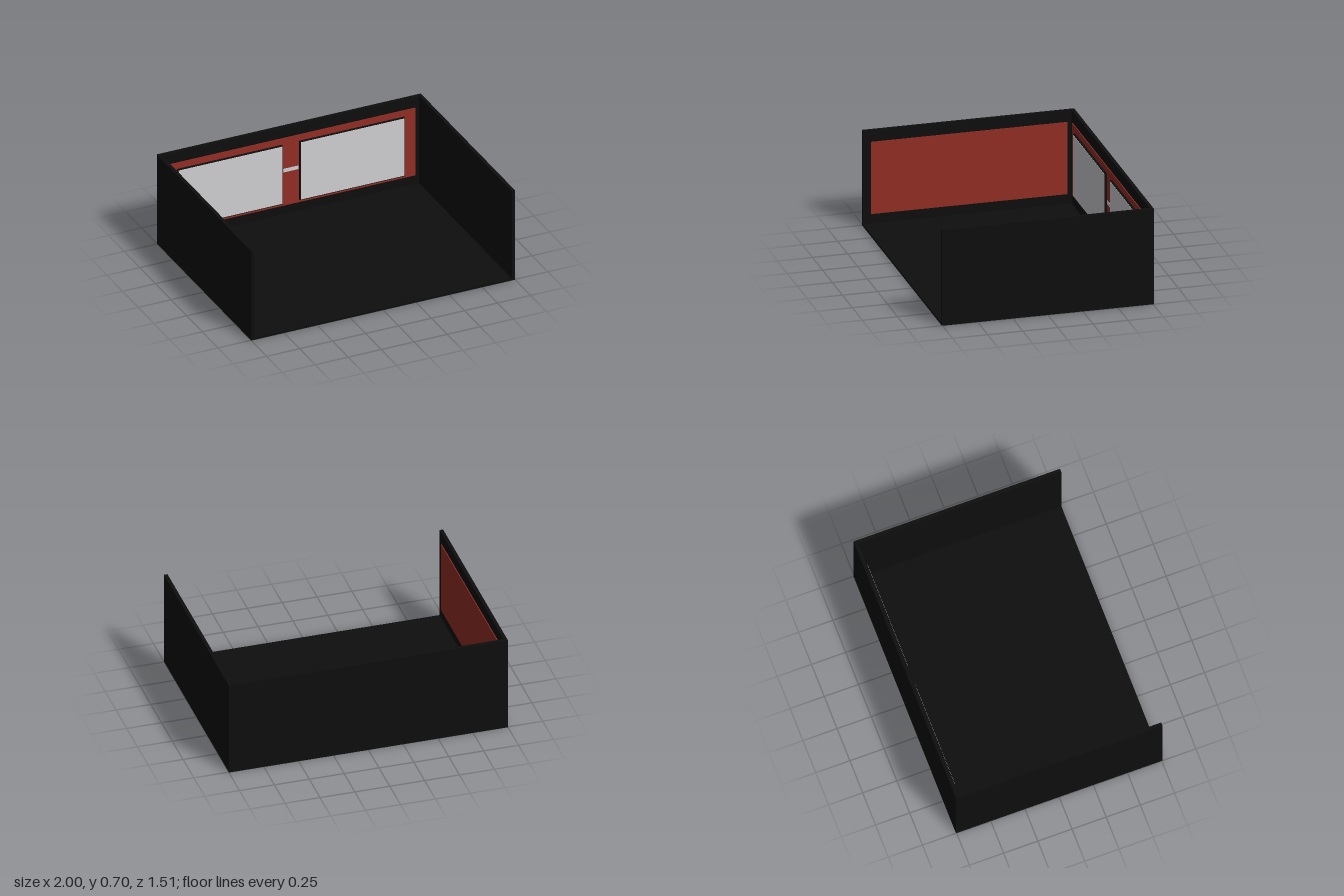
import * as THREE from 'three';

const flat = (name, color) => {
  const m = new THREE.MeshStandardMaterial({ color });
  m.name = name;
  return m;
};

export function createModel() {
  const black = flat('black', 0x0e0e0e);
  const red = flat('red', 0x932e25);
  const grey = flat('light grey', 0xd0d0d4);

  const model = new THREE.Group();
  model.name = 'exhibitionBooth';

  // Box given by its minimum and maximum corners
  const block = (name, material, min, max, parent = model) => {
    const size = max.map((v, i) => v - min[i]);
    const mesh = new THREE.Mesh(new THREE.BoxGeometry(...size), material);
    mesh.position.set(...max.map((v, i) => (v + min[i]) / 2));
    mesh.name = name;
    parent.add(mesh);
    return mesh;
  };

  const H = 0.7, D = 0.755, T = 0.025, F = 0.015;

  // Shell: floor, back wall and two side walls, open at the front and top
  block('floor', black, [-1 + T, 0, -D + T], [1 - T, F, D]);
  block('backWall', black, [-1, 0, -D], [1, H, -D + T]);
  block('rightWall', black, [-1, 0, -D + T], [-1 + T, H, D]);
  block('leftWall', black, [1 - T, 0, -D + T], [1, H, D]);

  // Thin red panels on the back wall and the right wall
  const panelZ = -D + T + 0.006;
  block('backPanel', red, [-0.947, 0.087, -D + T], [0.945, 0.615, panelZ]);
  block('sidePanel', red, [-1 + T, 0.087, -0.7], [-1 + T + 0.006, 0.615, 0.7]);

  // Pair of wall screens: black case with a light face
  for (const [name, x] of [['rightScreen', -0.464], ['leftScreen', 0.461]]) {
    const screen = new THREE.Group();
    screen.name = name;
    model.add(screen);
    const w = 0.398, y0 = 0.108, y1 = 0.568, b = 0.006, z = -0.709;
    block('screenCase', black, [x - w, y0, panelZ], [x + w, y1, z], screen);
    block('screenFace', grey, [x - w + b, y0 + b, z], [x + w - b, y1 - b, z + 0.002], screen);
  }

  // Plain plate between the screens
  block('centrePlate', grey, [-0.057, 0.349, panelZ], [0.056, 0.376, panelZ + 0.003]);

  return model;
}
